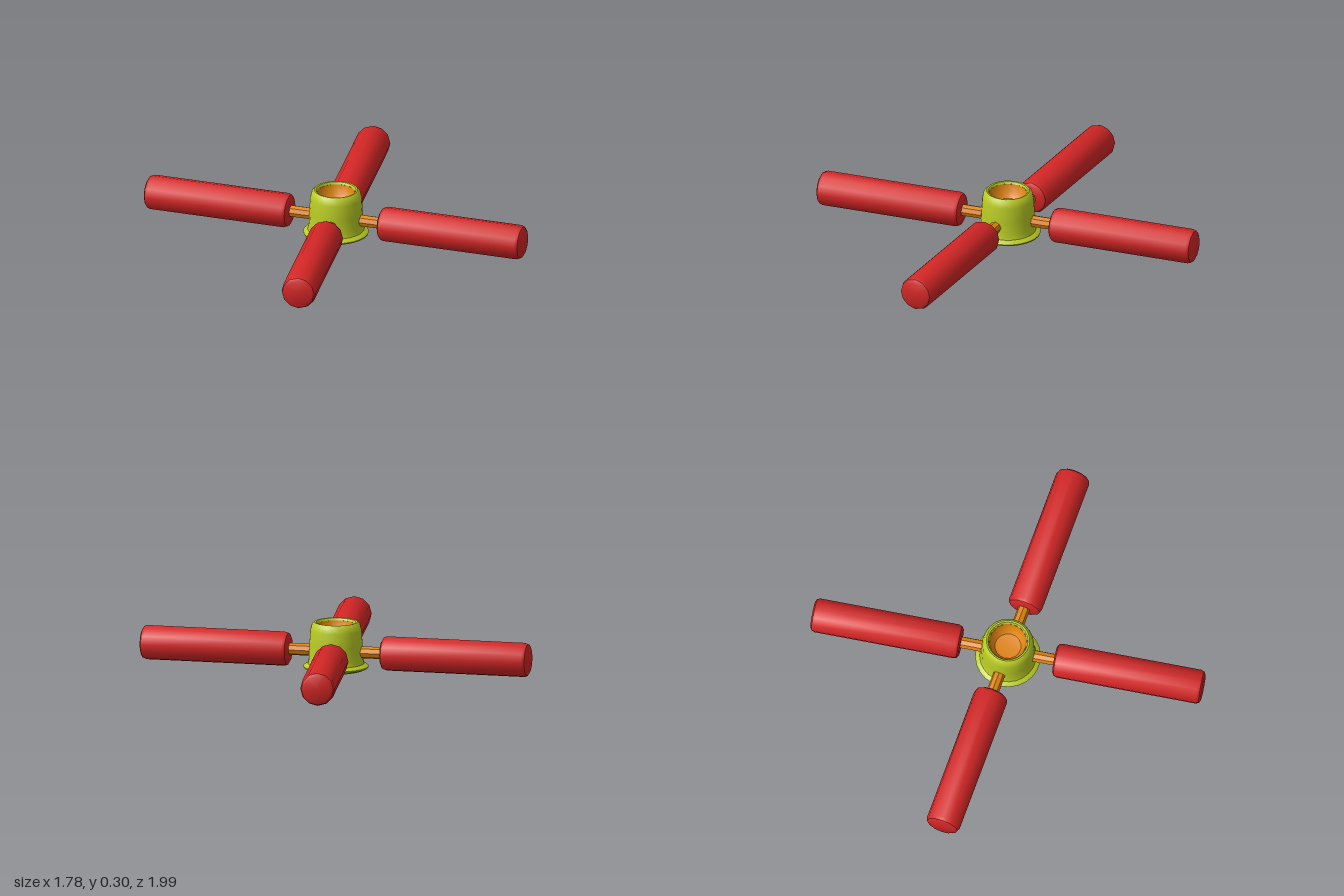
import * as THREE from 'three';
import { toCreasedNormals } from 'three/addons/utils/BufferGeometryUtils.js';

const red = new THREE.MeshStandardMaterial({ color: 0xd42626 });
red.name = 'roller red';
const lime = new THREE.MeshStandardMaterial({ color: 0xb9cb24 });
lime.name = 'hub lime';
const orange = new THREE.MeshStandardMaterial({ color: 0xe0850f });
orange.name = 'axle orange';

// Turned part from [radius, height] pairs, listed so the surface faces outward
function turned(name, profile, sides, material) {
  const points = profile.map(([r, y]) => new THREE.Vector2(r, y));
  const geometry = toCreasedNormals(new THREE.LatheGeometry(points, sides), 0.65);
  const mesh = new THREE.Mesh(geometry, material);
  mesh.name = name;
  return mesh;
}

// Arm pointing along +x: thin spoke with a bevelled roller on it
function makeArm(angle) {
  const arm = new THREE.Group();
  arm.name = 'arm';

  const spoke = turned('spoke', [[0, 0.1], [0.037, 0.1], [0.037, 0.35], [0, 0.35]], 8, orange);
  const R = 0.106, start = 0.29, end = 1.21, bevel = 0.025;
  const roller = turned('roller', [
    [0, start], [R - bevel, start], [R - bevel * 0.3, start + bevel * 0.4], [R, start + bevel * 1.2],
    [R, end - bevel * 1.2], [R - bevel * 0.3, end - bevel * 0.4], [R - bevel, end], [0, end],
  ], 12, red);

  for (const part of [spoke, roller]) {
    part.rotation.z = -Math.PI / 2;
    arm.add(part);
  }
  arm.position.y = 0.118;
  arm.rotation.y = THREE.MathUtils.degToRad(angle);
  return arm;
}

export function createModel() {
  const model = new THREE.Group();
  model.name = 'fourArmRotor';

  // Hub with a flared foot and a rounded rim
  model.add(turned('hub', [
    [0, 0], [0.17, 0.005], [0.197, 0.018], [0.2, 0.027], [0.19, 0.036], [0.173, 0.045],
    [0.166, 0.07], [0.163, 0.16], [0.157, 0.25], [0.148, 0.285], [0.132, 0.3],
    [0.122, 0.298], [0.115, 0.285],
  ], 24, lime));

  // Hollow bowl in the top of the hub
  model.add(turned('bowl', [[0.115, 0.285], [0.105, 0.235], [0.08, 0.205], [0, 0.195]], 16, orange));

  // Two crossed pairs of arms
  for (const angle of [47, 128.8, 227, 308.8]) model.add(makeArm(angle));
  return model;
}
